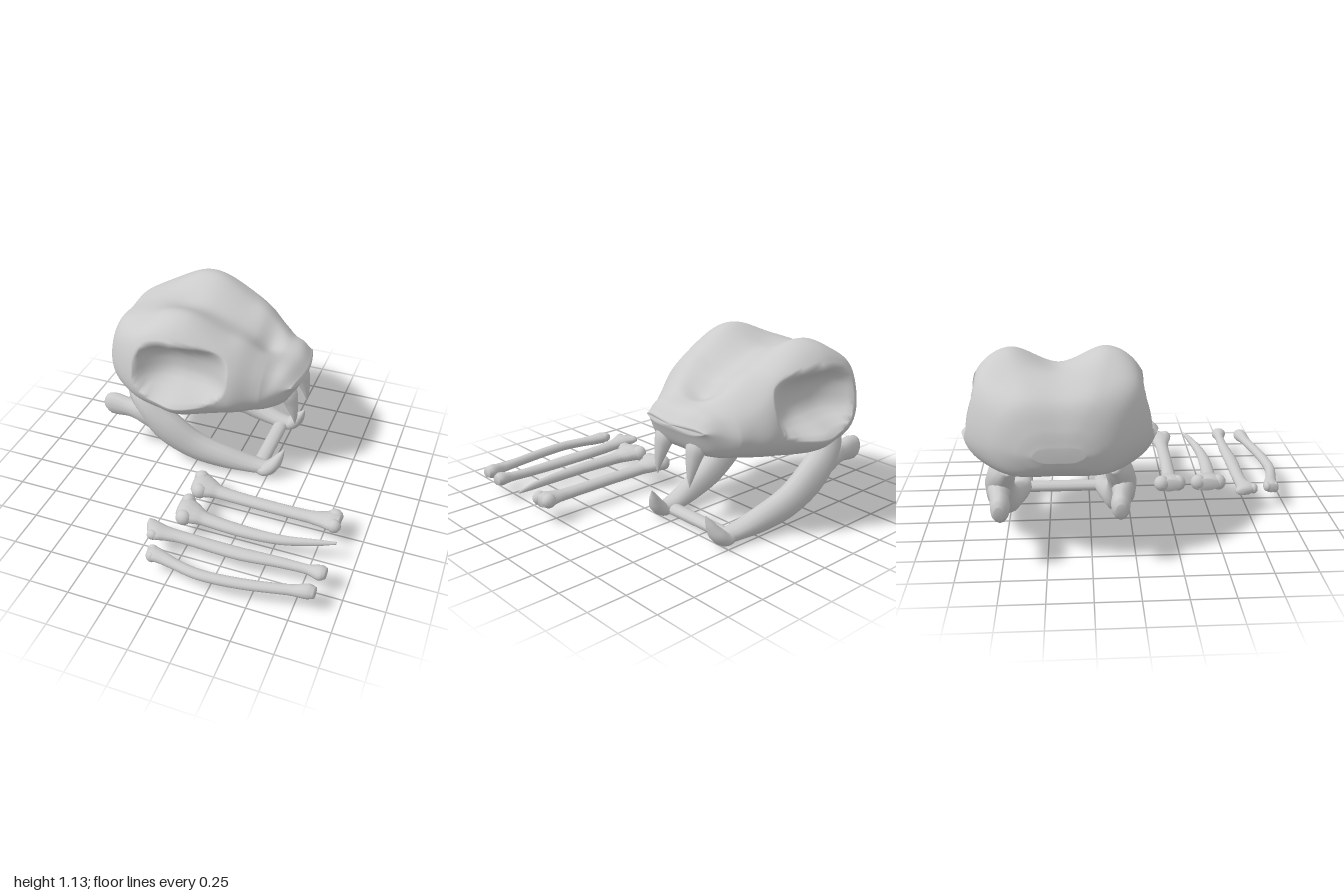
import * as THREE from 'three';

const V = (x, y, z) => new THREE.Vector3(x, y, z);
const MID = -0.42; // z of the skull's plane of symmetry
const material = new THREE.MeshStandardMaterial({ color: 0xcccccc });

// Smooth skin over closed rings of equal length, with both ends capped
function skin(rings) {
  const n = rings[0].length;
  const cap = r => {
    const c = r.reduce((s, p) => s.add(p), V(0, 0, 0)).divideScalar(n);
    return r.map(() => c);
  };
  const all = [cap(rings[0]), ...rings, cap(rings[rings.length - 1])];
  const pos = [], idx = [];
  all.forEach((ring, i) => ring.forEach((p, j) => {
    pos.push(p.x, p.y, p.z);
    if (i === all.length - 1) return;
    const a = i * n + j, b = i * n + (j + 1) % n;
    idx.push(a, b, a + n, b, b + n, a + n);
  }));
  const g = new THREE.BufferGeometry();
  g.setAttribute('position', new THREE.Float32BufferAttribute(pos, 3));
  g.setIndex(idx);
  g.computeVertexNormals();
  return g;
}

// Tapered sweep through stations [x, y, z, radius in xy plane, radius in z]
function sweep(stations, steps = 32, sides = 12) {
  const path = new THREE.CatmullRomCurve3(stations.map(s => V(s[0], s[1], s[2])));
  const size = new THREE.CatmullRomCurve3(stations.map(s => V(s[3], s[4], 0)), false, 'catmullrom', 0.4);
  const rings = [];
  for (let i = 0; i <= steps; i++) {
    const t = i / steps, c = path.getPoint(t), r = size.getPoint(t);
    const up = V(0, 0, 1).cross(path.getTangent(t)).normalize();
    rings.push(Array.from({ length: sides }, (_, j) => {
      const a = j / sides * Math.PI * 2;
      return c.clone().addScaledVector(up, r.x * Math.cos(a)).add(V(0, 0, r.y * Math.sin(a)));
    }));
  }
  return skin(rings);
}

// Skull sections: x, top, ridge z/y, brow z/y, cheek z/y, lower edge z/y, bottom
const SECTIONS = [
  [-0.893, 0.72, 0.06, 0.72, 0.11, 0.71, 0.14, 0.675, 0.09, 0.645, 0.64],
  [-0.87, 0.82, 0.12, 0.82, 0.2, 0.77, 0.23, 0.68, 0.16, 0.6, 0.59],
  [-0.8, 0.95, 0.2, 0.95, 0.31, 0.87, 0.355, 0.68, 0.28, 0.55, 0.53],
  [-0.6, 1.035, 0.26, 1.05, 0.435, 0.98, 0.51, 0.65, 0.4, 0.52, 0.5],
  [-0.42, 1.04, 0.28, 1.128, 0.445, 1.045, 0.56, 0.63, 0.44, 0.51, 0.47],
  [-0.28, 1.03, 0.28, 1.125, 0.44, 1.03, 0.58, 0.62, 0.44, 0.5, 0.46],
  [-0.05, 0.95, 0.25, 1.01, 0.4, 0.945, 0.48, 0.64, 0.4, 0.53, 0.49],
  [0.05, 0.9, 0.23, 0.965, 0.4, 0.865, 0.45, 0.65, 0.37, 0.54, 0.5],
  [0.15, 0.82, 0.2, 0.89, 0.35, 0.8, 0.39, 0.66, 0.32, 0.55, 0.52],
  [0.25, 0.82, 0.16, 0.83, 0.28, 0.775, 0.34, 0.67, 0.28, 0.56, 0.53],
  [0.34, 0.795, 0.15, 0.795, 0.24, 0.765, 0.285, 0.7, 0.23, 0.59, 0.575],
  [0.41, 0.73, 0.11, 0.73, 0.2, 0.725, 0.24, 0.715, 0.18, 0.7, 0.7],
];

function skullGeometry(steps = 110, sides = 120) {
  // Lengthwise rails, then a closed ring through them at each step
  const rail = f => new THREE.CatmullRomCurve3(SECTIONS.map(f));
  const half = [2, 4, 6, 8].map(k => rail(s => V(s[0], s[k + 1], s[k])));
  const top = rail(s => V(s[0], s[1], 0)), bottom = rail(s => V(s[0], s[10], 0));
  const rings = [];
  for (let i = 0; i <= steps; i++) {
    const t = i / steps, side = half.map(c => c.getPoint(t));
    const other = side.map(p => V(p.x, p.y, -p.z)).reverse();
    const loop = new THREE.CatmullRomCurve3([top.getPoint(t), ...side, bottom.getPoint(t), ...other], true);
    rings.push(Array.from({ length: sides }, (_, j) => {
      const p = loop.getPoint(j / sides);
      // Eye sockets sunk as bowls into both sides
      const r = Math.abs((p.x + 0.285) / 0.295) ** 3 + Math.abs((p.y - 0.815) / 0.175) ** 3;
      if (r < 1 && Math.abs(p.z) > 0.34) p.z = Math.sign(p.z) * THREE.MathUtils.lerp(Math.abs(p.z), 0.34, (1 - r) ** 0.8);
      return p;
    }));
  }
  // Rounded muzzle
  const g = skin(rings), pos = g.attributes.position;
  for (let i = 0; i < pos.count; i++) {
    const x = pos.getX(i), z = pos.getZ(i);
    pos.setX(i, x - 0.04 * THREE.MathUtils.clamp((x - 0.2) / 0.2, 0, 1) * (z / 0.25) ** 2);
  }
  g.computeVertexNormals();
  return g.translate(0, 0, MID);
}

export function createModel() {
  const model = new THREE.Group();
  const add = (name, geometry, parent = model) => {
    const m = new THREE.Mesh(geometry, material);
    m.name = name;
    parent.add(m);
    return m;
  };
  const group = name => {
    const g = new THREE.Group();
    g.name = name;
    model.add(g);
    return g;
  };
  const knob = (parent, x, y, z, rx, ry, rz) => {
    const m = add('boneKnob', new THREE.SphereGeometry(1, 12, 8), parent);
    m.position.set(x, y, z);
    m.scale.set(rx, ry, rz);
  };

  add('skull', skullGeometry());

  // Fangs and lower jaw, one per side
  const jaw = group('lowerJaw');
  for (const s of [1, -1]) {
    const z = d => MID + s * d;
    add('upperFang', sweep([
      [0.28, 0.68, z(0.13), 0.03, 0.05], [0.325, 0.6, z(0.132), 0.055, 0.065],
      [0.352, 0.52, z(0.135), 0.042, 0.045],
      [0.372, 0.44, z(0.138), 0.022, 0.025], [0.38, 0.37, z(0.138), 0.002, 0.002]], 14));
    add('jawBranch', sweep([
      [-0.66, 0.57, z(0.29), 0.1, 0.05], [-0.61, 0.49, z(0.325), 0.1, 0.08],
      [-0.54, 0.4, z(0.35), 0.1, 0.085], [-0.42, 0.28, z(0.355), 0.115, 0.085],
      [-0.25, 0.165, z(0.335), 0.1, 0.08], [-0.05, 0.1, z(0.305), 0.08, 0.075],
      [0.15, 0.06, z(0.27), 0.05, 0.065], [0.25, 0.055, z(0.26), 0.04, 0.05]], 32), jaw);
    add('jawJoint', sweep([
      [-0.893, 0.35, z(0.33), 0.04, 0.03], [-0.86, 0.355, z(0.33), 0.075, 0.05],
      [-0.8, 0.36, z(0.332), 0.078, 0.055], [-0.7, 0.365, z(0.345), 0.065, 0.055],
      [-0.6, 0.36, z(0.355), 0.08, 0.065], [-0.48, 0.32, z(0.355), 0.09, 0.07]], 20), jaw);
    add('lowerFang', sweep([
      [0.17, 0.055, z(0.27), 0.035, 0.05], [0.23, 0.05, z(0.27), 0.045, 0.065],
      [0.28, 0.09, z(0.265), 0.045, 0.058], [0.315, 0.15, z(0.25), 0.03, 0.035],
      [0.345, 0.215, z(0.235), 0.003, 0.003]], 14), jaw);
  }
  const bar = add('jawBar', new THREE.CylinderGeometry(0.035, 0.035, 0.46, 10), jaw);
  bar.rotation.x = Math.PI / 2;
  bar.scale.x = 1.4;
  bar.position.set(0.18, 0.048, MID);

  // Thigh bone: a pair of lobes on each end
  const thigh = group('thighBone');
  add('shaft', sweep([
    [-0.11, 0.155, 0.255, 0.04, 0.075], [-0.06, 0.152, 0.262, 0.05, 0.1], [0.0, 0.145, 0.267, 0.045, 0.078],
    [0.07, 0.135, 0.272, 0.036, 0.048], [0.35, 0.13, 0.28, 0.034, 0.043], [0.65, 0.13, 0.28, 0.034, 0.045],
    [0.74, 0.135, 0.278, 0.037, 0.062], [0.8, 0.14, 0.275, 0.042, 0.082], [0.85, 0.14, 0.275, 0.035, 0.065]]), thigh);
  knob(thigh, -0.08, 0.16, 0.21, 0.05, 0.05, 0.05);
  knob(thigh, -0.055, 0.15, 0.318, 0.052, 0.05, 0.048);
  knob(thigh, 0.81, 0.145, 0.232, 0.048, 0.045, 0.042);
  knob(thigh, 0.82, 0.14, 0.318, 0.045, 0.045, 0.042);

  // Pointed bone: lobes on one end, tapering to a tip
  const pointed = group('pointedBone');
  add('shaft', sweep([
    [-0.11, 0.155, 0.495, 0.04, 0.075], [-0.06, 0.152, 0.51, 0.05, 0.1], [0.0, 0.145, 0.52, 0.045, 0.078],
    [0.07, 0.135, 0.53, 0.036, 0.048], [0.3, 0.13, 0.545, 0.034, 0.042], [0.55, 0.13, 0.535, 0.03, 0.032],
    [0.75, 0.14, 0.495, 0.022, 0.022], [0.875, 0.145, 0.46, 0.008, 0.01]]), pointed);
  knob(pointed, -0.075, 0.16, 0.445, 0.045, 0.05, 0.05);
  knob(pointed, -0.055, 0.15, 0.578, 0.05, 0.05, 0.048);

  // Shin bone: slanted flare at one end
  const shin = group('shinBone');
  add('shaft', sweep([
    [-0.235, 0.155, 0.69, 0.02, 0.025], [-0.2, 0.15, 0.722, 0.03, 0.06], [-0.155, 0.148, 0.742, 0.035, 0.066],
    [-0.09, 0.14, 0.734, 0.034, 0.05], [0, 0.135, 0.726, 0.033, 0.04], [0.35, 0.13, 0.728, 0.032, 0.044],
    [0.6, 0.135, 0.715, 0.03, 0.035], [0.77, 0.14, 0.715, 0.03, 0.03], [0.85, 0.145, 0.72, 0.042, 0.05],
    [0.885, 0.145, 0.715, 0.03, 0.035]]), shin);
  knob(shin, -0.17, 0.15, 0.783, 0.035, 0.032, 0.028);

  // Forearm bone: bowed shaft
  const forearm = group('forearmBone');
  add('shaft', sweep([
    [-0.14, 0.135, 0.905, 0.03, 0.04], [-0.1, 0.135, 0.909, 0.036, 0.05], [-0.04, 0.132, 0.918, 0.034, 0.042],
    [0.05, 0.13, 0.94, 0.03, 0.034], [0.2, 0.13, 0.964, 0.03, 0.034], [0.45, 0.13, 0.945, 0.03, 0.034],
    [0.72, 0.135, 0.895, 0.03, 0.034], [0.82, 0.14, 0.875, 0.045, 0.046], [0.865, 0.14, 0.872, 0.03, 0.035]]), forearm);
  knob(forearm, -0.12, 0.14, 0.882, 0.035, 0.032, 0.024);
  knob(forearm, -0.11, 0.13, 0.935, 0.032, 0.036, 0.024);

  return model;
}
